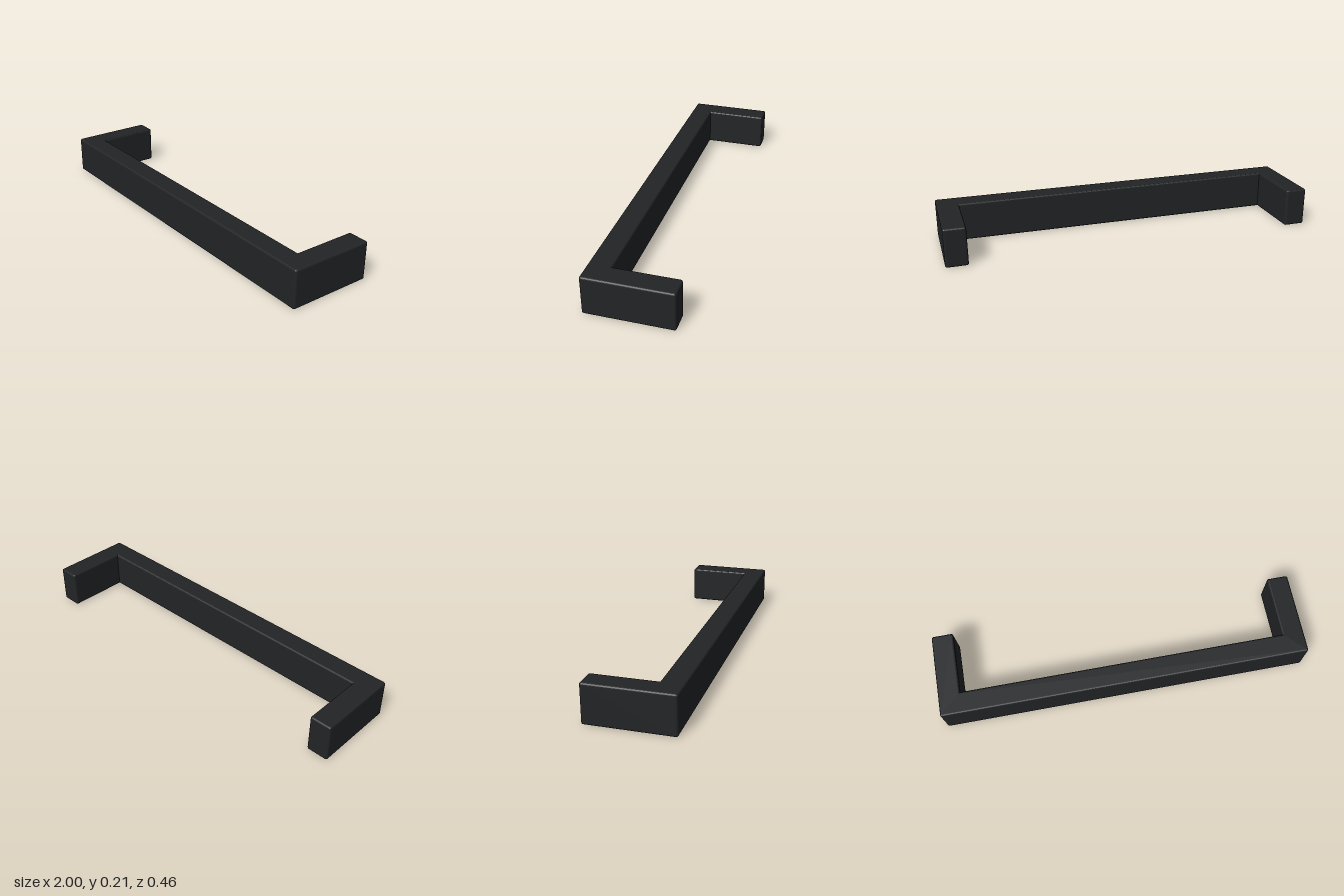
import * as THREE from 'three';

const HEIGHT = 0.206, HALF_DEPTH = 0.228, THICK = 0.117;
const BEVEL = 0.01, CORNER = 0.002;

// Closed outline whose corners are eased by their own radius (0 = sharp)
function roundedOutline(corners) {
  const shape = new THREE.Shape();
  const n = corners.length;
  corners.forEach(([x, y, r], i) => {
    const p = new THREE.Vector2(x, y);
    const toward = (c) => new THREE.Vector2(c[0], c[1]).sub(p).setLength(r).add(p);
    const a = toward(corners[(i + n - 1) % n]);
    const b = toward(corners[(i + 1) % n]);
    if (i === 0) shape.moveTo(a.x, a.y);
    else shape.lineTo(a.x, a.y);
    if (r > 0) shape.quadraticCurveTo(x, y, b.x, b.y);
  });
  shape.closePath();
  return shape;
}

export function createModel() {
  const group = new THREE.Group();
  group.name = 'pullHandle';

  // U-shaped plan, drawn one bevel width inside the finished faces
  const outerX = 1 - BEVEL, innerX = 1 - THICK + BEVEL;
  const front = HALF_DEPTH - BEVEL, back = -front;
  const barBack = HALF_DEPTH - THICK + BEVEL;
  const outline = roundedOutline([
    [-outerX, front, CORNER],
    [-outerX, back, CORNER],
    [-innerX, back, CORNER],
    [-innerX, barBack, 0],
    [innerX, barBack, 0],
    [innerX, back, CORNER],
    [outerX, back, CORNER],
    [outerX, front, CORNER],
  ]);

  // Extrude upward; the bevel grows outward and softens top and bottom edges
  const solid = new THREE.ExtrudeGeometry(outline, {
    depth: HEIGHT - 2 * BEVEL,
    bevelThickness: BEVEL,
    bevelSize: BEVEL,
    bevelSegments: 5,
    curveSegments: 5,
  });
  solid.rotateX(Math.PI / 2);
  solid.translate(0, HEIGHT - BEVEL, 0);

  const handle = new THREE.Mesh(
    solid,
    new THREE.MeshStandardMaterial({ color: 0x222426 })
  );
  handle.name = 'gripBarWithLegs';
  group.add(handle);
  return group;
}
